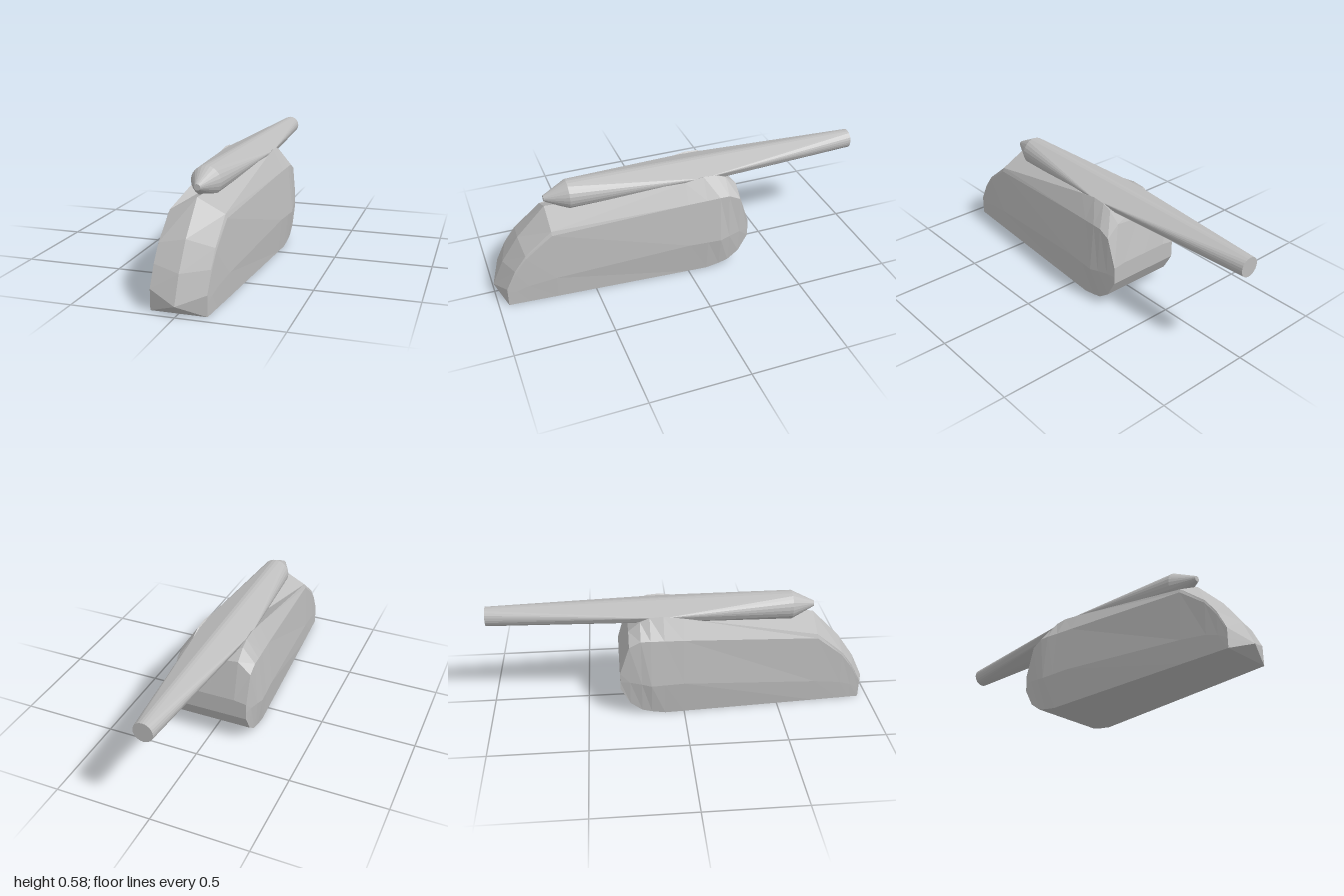
import * as THREE from 'three';
import { ConvexGeometry } from 'three/addons/geometries/ConvexGeometry.js';

const grey = new THREE.MeshStandardMaterial({ color: 0xbdbdbd });
grey.name = 'plain grey';

// Half section of the hull at one station: bottom, belt, shoulder, deck edge, then the centre line
function hullRing({ z, x, y, c }) {
  const half = x.map((px, i) => [px, y[i], z]);
  const mirrored = half.map(([px, py, pz]) => [-px, py, pz]).reverse();
  return [...half, [0, c[0], c[1]], ...mirrored];
}

// Faceted skin over a row of rings, running front to back, closed at both ends
function loft(rings, hub) {
  const n = rings[0].length;
  const index = [];
  for (let i = 0; i < rings.length - 1; i++) {
    for (let j = 0; j < n; j++) {
      const k = (j + 1) % n;
      const a = i * n + j, b = i * n + k;
      index.push(a, a + n, b, b, a + n, b + n);
    }
  }
  const last = (rings.length - 1) * n;
  for (let j = 0; j < n; j++) {
    const k = (j + 1) % n;
    if (j === hub || k === hub) continue;
    index.push(hub, j, k, last + hub, last + k, last + j);
  }
  const indexed = new THREE.BufferGeometry();
  indexed.setAttribute('position', new THREE.Float32BufferAttribute(rings.flat(2), 3));
  indexed.setIndex(index);
  const geometry = indexed.toNonIndexed();
  geometry.computeVertexNormals();
  return geometry;
}

function circle(z, y, r, sides = 24) {
  return Array.from({ length: sides }, (_, i) => {
    const a = (i / sides) * Math.PI * 2;
    return new THREE.Vector3(Math.sin(a) * r, y + Math.cos(a) * r, z);
  });
}

export function createModel() {
  const group = new THREE.Group();

  // Hull: rounded nose, flared flanks, sunken deck, rounded tail; c is [y, z] of the centre line
  const stations = [
    { z: 0.95, x: [0.134, 0.134, 0.134, 0.134], y: [0, 0.05, 0.09, 0.1], c: [0.05, 1.0] },
    { z: 0.9, x: [0.137, 0.138, 0.136, 0.134], y: [0, 0.08, 0.185, 0.2], c: [0.18, 0.94] },
    { z: 0.84, x: [0.141, 0.143, 0.138, 0.134], y: [0, 0.1, 0.265, 0.28], c: [0.31, 0.85] },
    { z: 0.7, x: [0.15, 0.154, 0.142, 0.134], y: [0, 0.12, 0.375, 0.395], c: [0.463, 0.7] },
    { z: 0.0, x: [0.193, 0.211, 0.186, 0.134], y: [0, 0.18, 0.42, 0.52], c: [0.45, 0.0] },
    { z: -0.1, x: [0.199, 0.219, 0.193, 0.134], y: [0, 0.18, 0.425, 0.535], c: [0.45, -0.1] },
    { z: -0.17, x: [0.2, 0.225, 0.199, 0.134], y: [0.012, 0.18, 0.43, 0.53], c: [0.45, -0.17] },
    { z: -0.22, x: [0.2, 0.217, 0.2, 0.134], y: [0.025, 0.19, 0.43, 0.51], c: [0.45, -0.22] },
    { z: -0.28, x: [0.2, 0.208, 0.2, 0.134], y: [0.07, 0.2, 0.4, 0.46], c: [0.445, -0.28] },
    { z: -0.33, x: [0.2, 0.2, 0.2, 0.134], y: [0.16, 0.2, 0.25, 0.26], c: [0.26, -0.33] },
  ];
  const hull = new THREE.Mesh(loft(stations.map(hullRing), 4), grey);
  hull.name = 'hull';
  group.add(hull);

  // Spar: round at both ends, swelling to a side ridge over the hull shoulders
  const points = [
    ...circle(0.7, 0.508, 0.015),
    ...circle(0.58, 0.508, 0.075),
    ...circle(-1, 0.51, 0.05),
  ];
  for (const s of [-1, 1]) {
    points.push(new THREE.Vector3(s * 0.134, 0.526, -0.1));
    points.push(new THREE.Vector3(s * 0.122, 0.498, -0.1));
  }
  const spar = new THREE.Mesh(new ConvexGeometry(points), grey);
  spar.name = 'spar';
  group.add(spar);

  return group;
}
